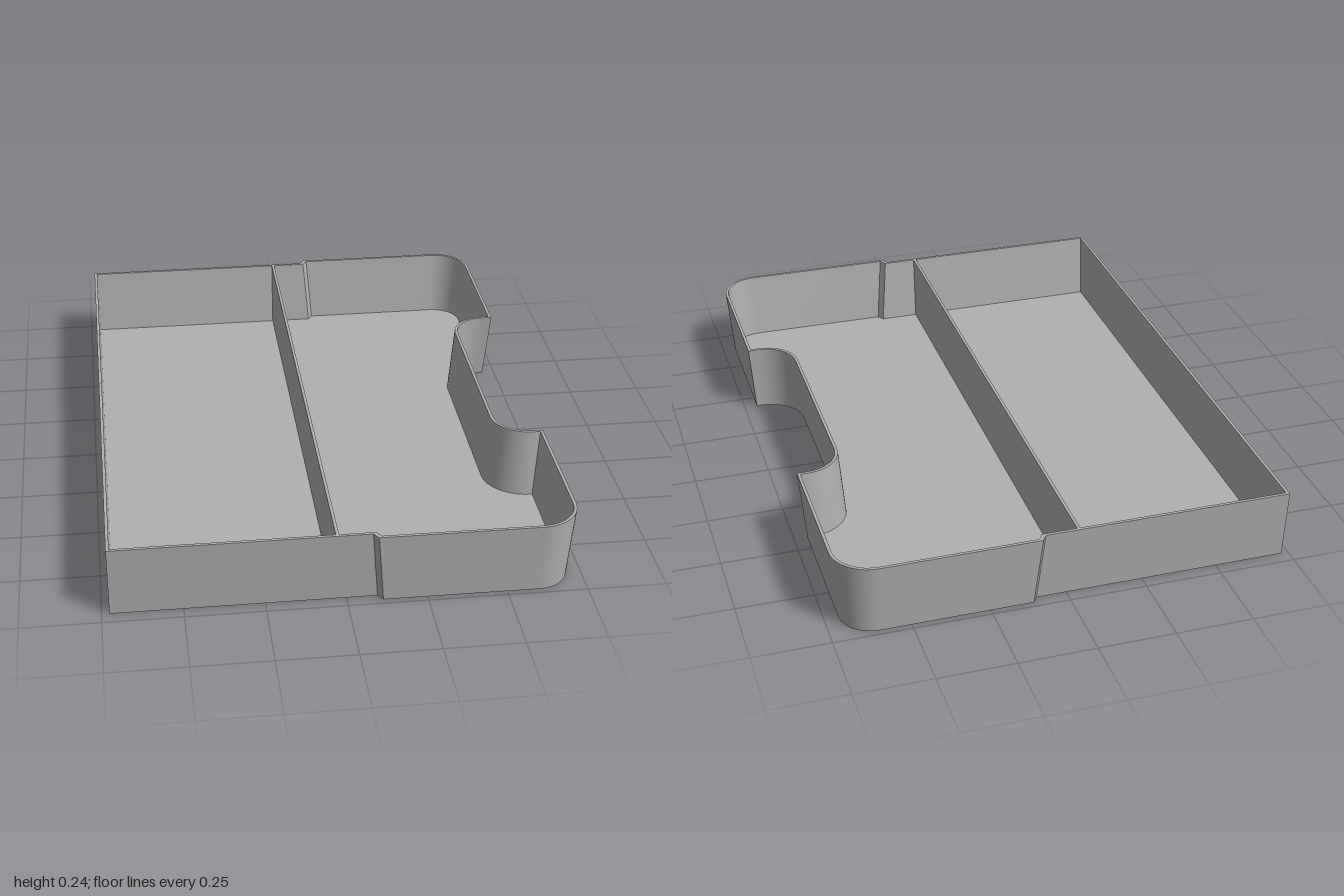
import * as THREE from 'three';
import { toCreasedNormals } from 'three/addons/utils/BufferGeometryUtils.js';

const H = 0.24;      // tray height
const DRAFT = 0.02;  // inward lean of the walls at the bottom
const WALL = 0.01;   // wall and floor thickness

// Tray outline as [x, z] pairs, moved inward by d; the left wall is upright at xl
function outline(d, xl) {
  const half = [[xl, 0.977 - d], [0.077 + d, 0.977 - d], [0.092 + d, 1 - d]];
  const arc = (cx, cz, r, from, to) => {
    for (let i = 0; i <= 12; i++) {
      const a = from + (to - from) * i / 12;
      half.push([cx + r * Math.cos(a), cz + r * Math.sin(a)]);
    }
  };
  arc(0.6, 0.875, 0.126 - d, Math.PI / 2, 0);           // outer corner
  half.push([0.726 - d, 0.42 + d]);                     // sharp notch edge
  arc(0.69, 0.31, 0.11 + d, Math.PI / 2, Math.PI);      // notch corner
  const mirrored = half.map(([x, z]) => [x, -z]).reverse();
  return half.concat(mirrored);
}

const lean = y => DRAFT * (1 - y / H);
const outer = y => outline(lean(y), -0.726);
const inner = y => outline(lean(y) + WALL, -0.726 + WALL);

// Skin joining successive rings of equal point count
function loft(rings) {
  const pos = [];
  for (let k = 0; k < rings.length - 1; k++) {
    const lo = rings[k], up = rings[k + 1], n = lo.pts.length;
    for (let i = 0; i < n; i++) {
      const j = (i + 1) % n;
      const p = (r, m) => [r.pts[m][0], r.y, r.pts[m][1]];
      const a = p(lo, i), b = p(lo, j), c = p(up, j), e = p(up, i);
      pos.push(...a, ...b, ...c, ...a, ...c, ...e);
    }
  }
  const g = new THREE.BufferGeometry();
  g.setAttribute('position', new THREE.Float32BufferAttribute(pos, 3));
  return toCreasedNormals(g, Math.PI / 7);
}

// Flat plate filling an outline, facing up or down
function plate(pts, y, up) {
  const shape = new THREE.Shape(pts.map(([x, z]) => new THREE.Vector2(x, -z)));
  const g = new THREE.ShapeGeometry(shape);
  g.rotateX(up ? -Math.PI / 2 : Math.PI / 2);
  return g.translate(0, y, 0);
}

export function createModel() {
  const group = new THREE.Group();
  group.name = 'tray';
  const grey = new THREE.MeshStandardMaterial({ color: 0xb0b0b0 });
  grey.name = 'grey';
  const add = (name, geometry) => {
    const mesh = new THREE.Mesh(geometry, grey);
    mesh.name = name;
    group.add(mesh);
  };

  // Walls: outside, rim and inside
  add('walls', loft([
    { pts: outer(0), y: 0 },
    { pts: outer(H), y: H },
    { pts: inner(H), y: H },
    { pts: inner(WALL), y: WALL },
  ]));
  add('floor', plate(inner(WALL), WALL, true));
  add('underside', plate(outer(0), 0, false));

  // Divider between the two compartments, its ends following the leaning walls
  const zTop = 0.97, zBottom = zTop - DRAFT;
  const section = new THREE.Shape([
    [-zBottom, WALL], [zBottom, WALL], [zTop, H], [-zTop, H],
  ].map(([x, y]) => new THREE.Vector2(x, y)));
  const divider = new THREE.ExtrudeGeometry(section, { depth: 0.01, bevelEnabled: false });
  divider.rotateY(Math.PI / 2).translate(-0.036, 0, 0);
  add('divider', divider);

  return group;
}
